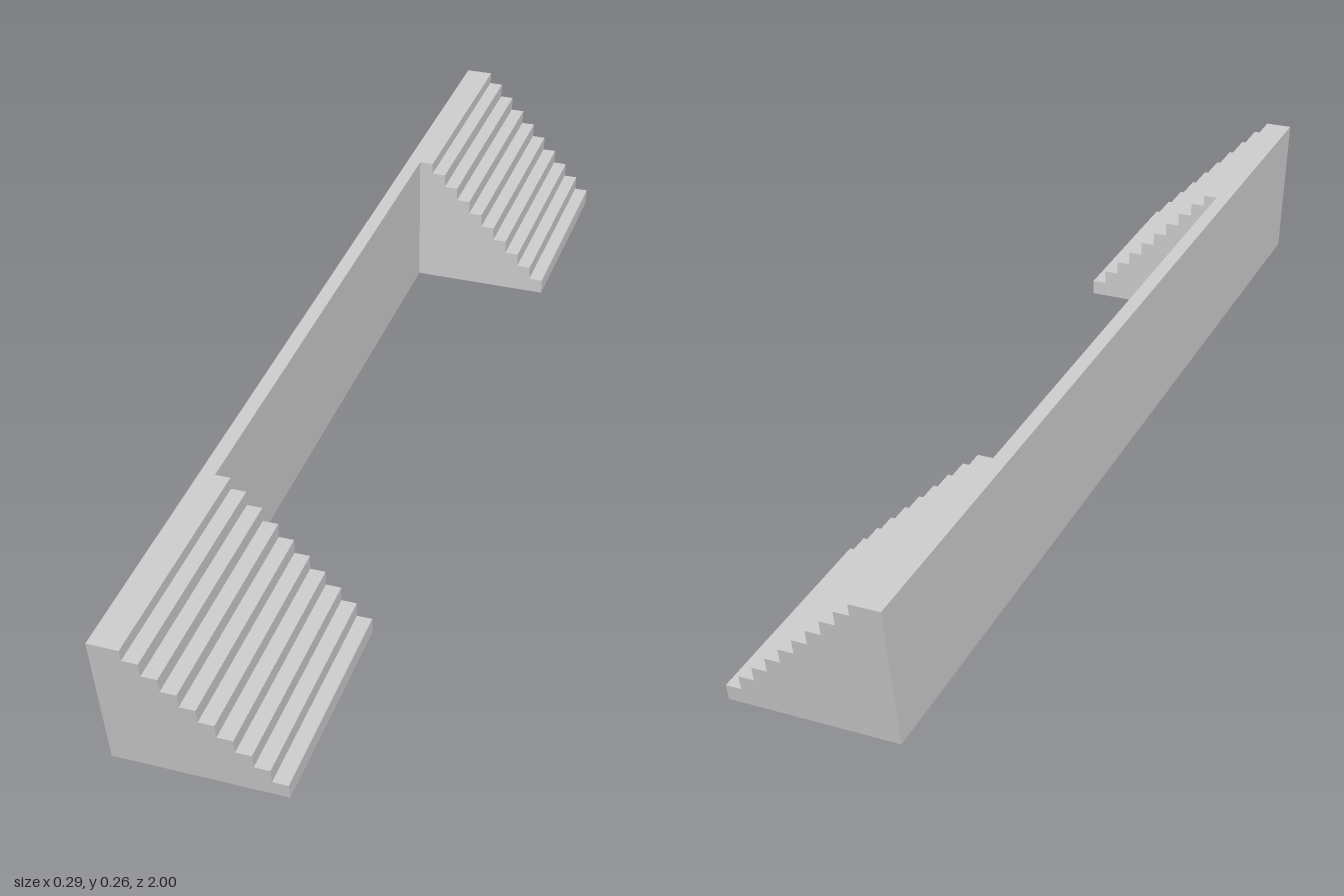
import * as THREE from 'three';

const BACK = -0.145, FRONT = 0.145, TOP = 0.262, WALL = 0.026;
const STEPS = 10, RUN = 0.0264, RISE = 0.0264;
const END_BOTTOM = 0.956, END_TOP = 1;   // the outer ends lean outwards

const material = new THREE.MeshStandardMaterial({ color: 0xcccccc, flatShading: true });

// Side profile of a flight, with the wall thickness included at its back
function stairProfile() {
  const shape = new THREE.Shape();
  shape.moveTo(BACK, 0);
  shape.lineTo(FRONT, 0);
  for (let i = 0; i < STEPS; i++) {
    const x = FRONT - i * RUN;
    const y = i === STEPS - 1 ? TOP : 0.029 + i * RISE;
    shape.lineTo(x, y);
    shape.lineTo(i === STEPS - 1 ? BACK : x - RUN, y);
  }
  shape.closePath();
  return shape;
}

// One flight from its inner z to the leaning outer end on the given side
function stairs(name, side, inner) {
  const geo = new THREE.ExtrudeGeometry(stairProfile(), { depth: 1, bevelEnabled: false });
  const p = geo.attributes.position;
  for (let i = 0; i < p.count; i++) {
    const outer = side * (END_BOTTOM + (END_TOP - END_BOTTOM) * p.getY(i) / TOP);
    const isOuter = side > 0 ? p.getZ(i) > 0.5 : p.getZ(i) < 0.5;
    p.setZ(i, isOuter ? outer : inner);
  }
  geo.computeVertexNormals();
  const mesh = new THREE.Mesh(geo, material);
  mesh.name = name;
  return mesh;
}

export function createModel() {
  const group = new THREE.Group();
  group.name = 'twinStaircase';
  const innerFront = 0.565, innerBack = -0.554;

  group.add(stairs('frontStairs', 1, innerFront));
  group.add(stairs('backStairs', -1, innerBack));

  // Thin wall joining the two flights
  const wall = new THREE.Mesh(new THREE.BoxGeometry(WALL, TOP, innerFront - innerBack), material);
  wall.name = 'connectingWall';
  wall.position.set(BACK + WALL / 2, TOP / 2, (innerFront + innerBack) / 2);
  group.add(wall);

  return group;
}
